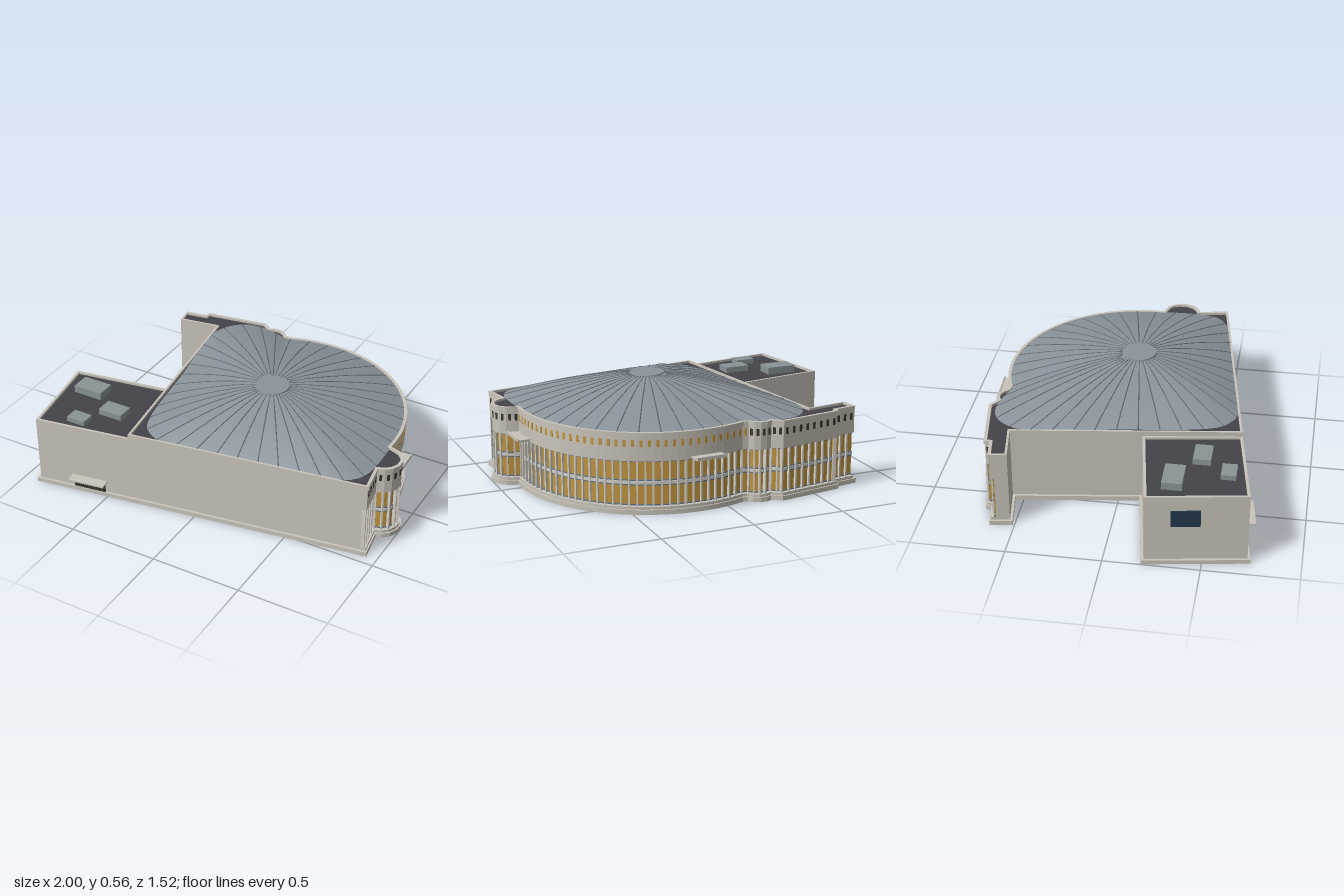
import * as THREE from 'three';

const mat = (color, side = THREE.FrontSide) =>
  new THREE.MeshStandardMaterial({ color, side });
const M = {
  stone: mat(0xcac5bb), fin: mat(0xd6d2c8), gold: mat(0xc4963f), dark: mat(0x3a352f),
  rail: mat(0x5f7690), roof: mat(0x444349), dome: mat(0x8a939b, THREE.DoubleSide),
  rib: mat(0x666d74), unit: mat(0x8a9496), blue: mat(0x24384f), under: mat(0x242426),
};
const CX = 0.155, CZ = 0.02; // centre of the round hall

function add(parent, name, geo, material) {
  const mesh = new THREE.Mesh(geo, material);
  mesh.name = name;
  parent.add(mesh);
  return mesh;
}

function box(parent, name, material, w, h, d, x, y, z) {
  const mesh = add(parent, name, new THREE.BoxGeometry(w, h, d), material);
  mesh.position.set(x, y, z);
  return mesh;
}

// Points [x, z, glazed] along an arc
function arc(cx, cz, r, a0, a1, n, kind) {
  return Array.from({ length: n + 1 }, (_, i) => {
    const a = a0 + (a1 - a0) * i / n;
    return [cx + r * Math.cos(a), cz + r * Math.sin(a), kind];
  });
}

// Outward normal of the edge that starts at point i
function normal(pts, i) {
  const a = pts[i], b = pts[(i + 1) % pts.length];
  const dx = b[0] - a[0], dz = b[1] - a[1], l = Math.hypot(dx, dz);
  return [-dz / l, dx / l];
}

// Mitred offset of an outline; glazed edges may use another distance
function offset(pts, d, dGlass = d) {
  return pts.map((p, i) => {
    const j = (i + pts.length - 1) % pts.length;
    const n1 = normal(pts, j), n2 = normal(pts, i);
    const d1 = pts[j][2] ? dGlass : d, d2 = p[2] ? dGlass : d;
    const det = n1[0] * n2[1] - n1[1] * n2[0];
    if (Math.abs(det) < 0.05) return [p[0] + n2[0] * d2, p[1] + n2[1] * d2, p[2]];
    return [p[0] + (d1 * n2[1] - d2 * n1[1]) / det,
      p[1] + (n1[0] * d2 - n2[0] * d1) / det, p[2]];
  });
}

// Upright slab from y0 to y1 over an outline, with an optional hole
function slab(parent, name, material, pts, y0, y1, hole) {
  const v = (list) => list.map(([x, z]) => new THREE.Vector2(x, -z));
  const shape = new THREE.Shape(v(pts));
  if (hole) shape.holes.push(new THREE.Path(v(hole)));
  const geo = new THREE.ExtrudeGeometry(shape, { depth: y1 - y0, bevelEnabled: false });
  geo.rotateX(-Math.PI / 2).translate(0, y0, 0);
  return add(parent, name, geo, material);
}

// Glazed bays along every glazed edge
function buildBays(parent, pts) {
  pts.forEach((a, i) => {
    if (!a[2]) return;
    const b = pts[(i + 1) % pts.length], n = normal(pts, i);
    const len = Math.hypot(b[0] - a[0], b[1] - a[1]);
    if (len < 0.02) return;
    const count = Math.max(1, Math.round(len / 0.042)), w = len / count;
    for (let k = 0; k < count; k++) {
      const t = (k + 0.5) / count;
      const bay = new THREE.Group();
      bay.name = 'windowBay';
      bay.position.set(a[0] + (b[0] - a[0]) * t, 0, a[1] + (b[1] - a[1]) * t);
      bay.rotation.y = Math.atan2(n[0], n[1]);
      box(bay, 'glass', M.gold, w, 0.24, 0.006, 0, 0.16, -0.019);
      box(bay, 'fin', M.fin, 0.009, 0.24, 0.02, -w / 2, 0.16, -0.012);
      box(bay, 'midBand', M.fin, w, 0.016, 0.008, 0, 0.163, -0.014);
      for (const y of [0.045, 0.151, 0.175, 0.276])
        box(bay, 'rail', M.rail, w, 0.006, 0.007, 0, y, -0.015);
      box(bay, 'friezeWindow', a[2] === 'arc' ? M.gold : M.dark, 0.015, 0.036, 0.004, 0, 0.373, 0);
      parent.add(bay);
    }
  });
}

// Shallow dome stretched from a centre point to a rounded outline
function buildDome(parent) {
  const ring = [
    [0.88, 0.13], [0.875, 0.32], [0.84, 0.4], [0.74, 0.455], [0.3, 0.53], [-0.12, 0.595],
    [-0.22, 0.595], [-0.32, 0.53], [-0.365, 0.42], [-0.44, -0.04], [-0.515, -0.46],
    [-0.49, -0.57], [-0.42, -0.655], [-0.32, -0.685], [-0.19, -0.665], [-0.11, -0.64],
    ...arc(CX, CZ, 0.712, -1.8, -0.05, 10),
  ].map(([x, z]) => new THREE.Vector3(x, 0, z));
  const curve = new THREE.CatmullRomCurve3(ring, true);
  const at = (p, s) => new THREE.Vector3(CX + (p.x - CX) * s,
    0.425 + 0.135 * (1 - s ** 1.6), CZ + (p.z - CZ) * s);
  const N = 120, R = 14, edge = curve.getSpacedPoints(N), pos = [], idx = [];
  for (let r = 0; r <= R; r++)
    for (let i = 0; i <= N; i++) pos.push(...at(edge[i], 0.02 + 0.98 * r / R).toArray());
  for (let r = 0; r < R; r++)
    for (let i = 0; i < N; i++) {
      const a = r * (N + 1) + i, b = a + N + 1;
      idx.push(a, a + 1, b, b, a + 1, b + 1);
    }
  const geo = new THREE.BufferGeometry();
  geo.setAttribute('position', new THREE.Float32BufferAttribute(pos, 3));
  geo.setIndex(idx);
  geo.computeVertexNormals();
  add(parent, 'dome', geo, M.dome);
  for (let i = 0; i < N; i += 3) {
    const path = new THREE.CatmullRomCurve3(
      [0.13, 0.35, 0.55, 0.75, 0.9, 1].map((s) => at(edge[i], s)));
    add(parent, 'domeRib', new THREE.TubeGeometry(path, 10, 0.003, 4), M.rib);
  }
  add(parent, 'domeCap', new THREE.CylinderGeometry(0.092, 0.095, 0.012, 40), M.dome)
    .position.set(CX, 0.556, CZ);
}

export function createModel() {
  const model = new THREE.Group();
  model.name = 'arenaBuilding';

  // Main hall outline: front wall, right wall, tower, arc, tower, wing
  const hall = [
    [-0.37, 0.64, ''], [0.925, 0.437, 'flat'],
    ...arc(0.885, 0.17, 0.1, 1.45, -1.42, 7, 'tower'),
    ...arc(CX, CZ, 0.72, 0.06, -1.93, 34, 'arc'),
    ...arc(-0.2, -0.62, 0.08, -0.5, -2.2, 4, 'tower'),
    [-0.3, -0.722, 'flat'], [-0.645, -0.667, 'flat'], [-0.649, -0.637, 'flat'],
    [-0.775, -0.617, ''], [-0.76, -0.525, ''], [-0.535, -0.56, ''],
  ];
  slab(model, 'hallPlinth', M.stone, offset(hall, 0.014), 0, 0.025);
  slab(model, 'hallPlinthStep', M.stone, offset(hall, 0, 0.006), 0.025, 0.04);
  slab(model, 'hallBody', M.stone, offset(hall, 0, -0.02), 0.04, 0.28);
  slab(model, 'frieze', M.stone, hall, 0.28, 0.41);
  slab(model, 'hallRoof', M.roof, offset(hall, -0.004), 0.41, 0.418);
  slab(model, 'hallParapet', M.stone, offset(hall, 0, 0.005), 0.41, 0.43, offset(hall, -0.012));
  buildBays(model, hall);
  buildDome(model);

  // Low annex beside the hall
  const annex = [[-0.9, 0.727, ''], [-0.365, 0.64, ''], [-0.44, 0.124, ''], [-0.985, 0.21, '']];
  slab(model, 'annexUnderside', M.under, annex, 0.001, 0.006);
  slab(model, 'annexPlinth', M.stone, offset(annex, 0.014), 0.002, 0.025, offset(annex, -0.01));
  slab(model, 'annexBody', M.stone, annex, 0.006, 0.385);
  slab(model, 'annexRoof', M.roof, offset(annex, -0.004), 0.385, 0.391);
  slab(model, 'annexParapet', M.stone, annex, 0.385, 0.403, offset(annex, -0.014));
  for (const [x, z, w, d, top] of [
    [-0.8, 0.333, 0.17, 0.105, 0.432], [-0.575, 0.457, 0.14, 0.093, 0.424],
    [-0.703, 0.603, 0.108, 0.078, 0.418]])
    box(model, 'roofUnit', M.unit, w, top - 0.385, d, x, (top + 0.385) / 2, z);

  // Service door and canopy on the front wall
  const entry = new THREE.Group();
  entry.name = 'serviceEntry';
  entry.position.set(-0.605, 0, 0.679);
  entry.rotation.y = Math.atan2(0.155, 0.988);
  box(entry, 'door', M.dark, 0.18, 0.06, 0.012, 0, 0.055, 0.003);
  box(entry, 'doorCanopy', M.stone, 0.205, 0.008, 0.06, 0, 0.09, 0.028);
  model.add(entry);

  // Blue window on the annex end wall
  const pane = box(model, 'endWindow', M.blue, 0.15, 0.095, 0.01, -0.951, 0.275, 0.415);
  pane.rotation.y = Math.atan2(-0.987, 0.162);

  // Entrance canopies on the curved facade
  for (const a of [-0.045, -1.615]) {
    const canopy = new THREE.Group();
    canopy.name = 'entranceCanopy';
    canopy.position.set(CX + 0.72 * Math.cos(a), 0, CZ + 0.72 * Math.sin(a));
    canopy.rotation.y = Math.PI / 2 - a;
    box(canopy, 'canopySlab', M.stone, 0.17, 0.01, 0.085, 0, 0.29, 0.02);
    box(canopy, 'canopyLip', M.stone, 0.17, 0.018, 0.008, 0, 0.294, 0.058);
    model.add(canopy);
  }
  return model;
}
